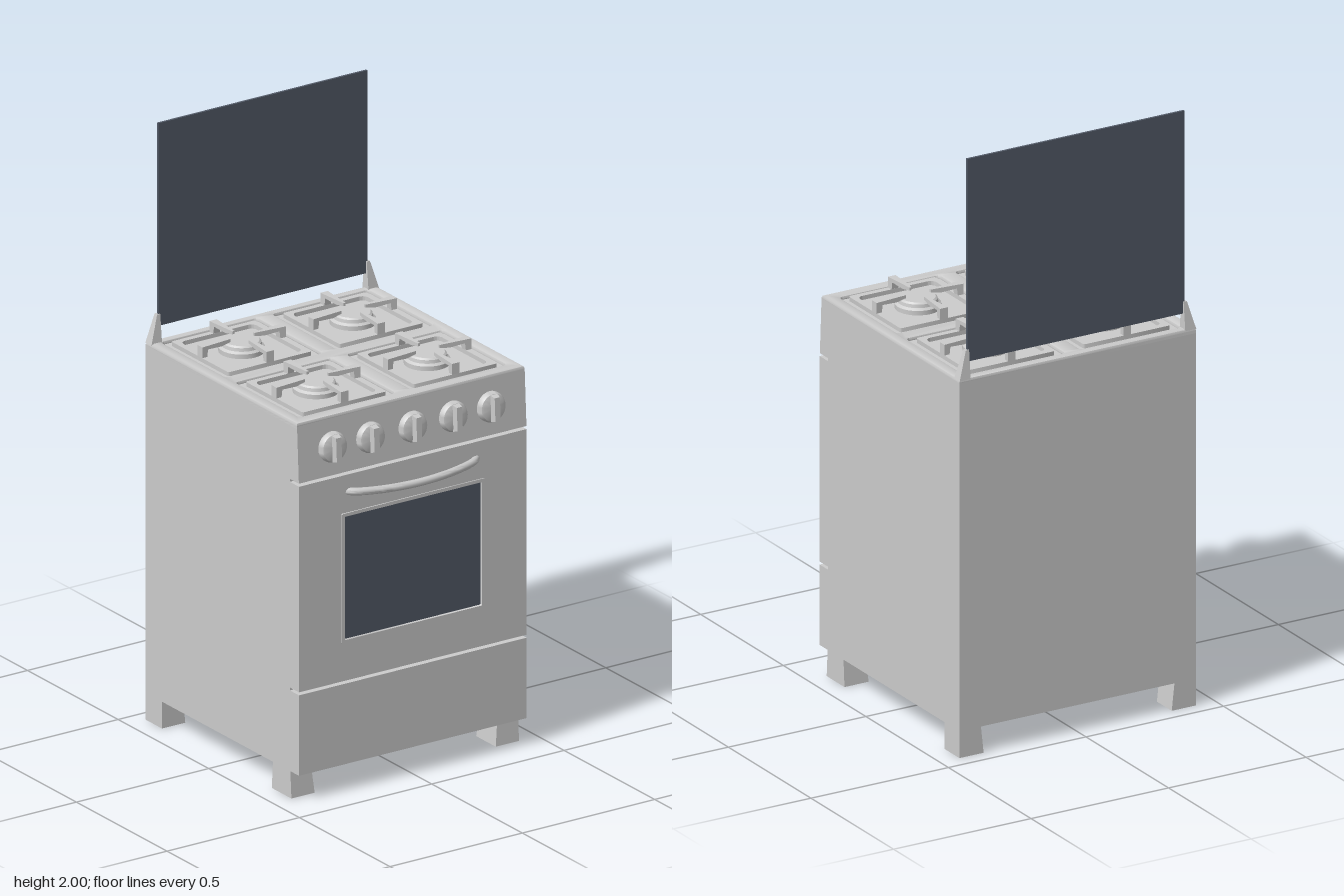
import * as THREE from 'three';
import { toCreasedNormals } from 'three/addons/utils/BufferGeometryUtils.js';

const grey = new THREE.MeshStandardMaterial({ color: 0xcccccc });
const glass = new THREE.MeshStandardMaterial({ color: 0x525a67 });

function add(parent, name, geometry, material = grey, x = 0, y = 0, z = 0) {
  const mesh = new THREE.Mesh(toCreasedNormals(geometry, 0.6), material);
  mesh.name = name;
  mesh.position.set(x, y, z);
  parent.add(mesh);
  return mesh;
}

const polygon = (points) => new THREE.Shape(points.map((p) => new THREE.Vector2(...p)));

// Rounded rectangle outline centred on (x, y)
function roundRect(x, y, hw, hh, r, Type = THREE.Shape) {
  const s = new Type();
  s.absarc(x + hw - r, y + hh - r, r, 0, Math.PI / 2);
  s.absarc(x - hw + r, y + hh - r, r, Math.PI / 2, Math.PI);
  s.absarc(x - hw + r, y - hh + r, r, Math.PI, Math.PI * 1.5);
  s.absarc(x + hw - r, y - hh + r, r, Math.PI * 1.5, Math.PI * 2);
  s.closePath();
  return s;
}

const extrude = (shape, depth, options = {}) =>
  new THREE.ExtrudeGeometry(shape, { depth, bevelEnabled: false, curveSegments: 6, ...options });

// Box whose top face is resized and shifted
function taperedBox(w, h, d, topW, topD, shiftX = 0) {
  const g = new THREE.BoxGeometry(w, h, d);
  const p = g.attributes.position;
  for (let i = 0; i < p.count; i++) {
    if (p.getY(i) > 0) p.setXYZ(i, p.getX(i) * topW / w + shiftX, h / 2, p.getZ(i) * topD / d);
  }
  return g;
}

// Pan support arm: side profile (radius, height) narrowing towards the burner
function armGeometry() {
  const g = extrude(polygon([
    [0.158, 0], [0.158, 0.05], [0.045, 0.05], [0.045, 0.04], [0.08, 0.034], [0.135, 0.038], [0.14, 0],
  ]), 1);
  const p = g.attributes.position;
  for (let i = 0; i < p.count; i++) {
    const t = (p.getX(i) - 0.045) / 0.113;
    p.setZ(i, (p.getZ(i) - 0.5) * (0.008 + 0.02 * t));
  }
  g.computeVertexNormals();
  return g;
}

function createBurner() {
  const burner = new THREE.Group();
  burner.name = 'burner';
  const profile = [[0.073, 0], [0.073, 0.015], [0.064, 0.021], [0.062, 0.032], [0.056, 0.037], [0, 0.037]];
  add(burner, 'burnerCap', new THREE.LatheGeometry(profile.map((p) => new THREE.Vector2(...p)), 32));
  const ring = roundRect(0, 0, 0.158, 0.158, 0.008);
  ring.holes.push(roundRect(0, 0, 0.138, 0.138, 0.02, THREE.Path));
  add(burner, 'grateFrame', extrude(ring, 0.014).rotateX(-Math.PI / 2));
  const arm = armGeometry();
  for (let i = 0; i < 4; i++) add(burner, 'grateArm', arm).rotation.y = i * Math.PI / 2;
  return burner;
}

function createKnob() {
  const knob = new THREE.Group();
  knob.name = 'knob';
  const profile = [[0.05, 0], [0.05, 0.012], [0.045, 0.022], [0.038, 0.025], [0, 0.025]];
  add(knob, 'knobDisc', new THREE.LatheGeometry(profile.map((p) => new THREE.Vector2(...p)), 32).rotateX(Math.PI / 2));
  add(knob, 'knobGrip', taperedBox(0.026, 0.02, 0.088, 0.02, 0.078).rotateX(Math.PI / 2), grey, 0, 0, 0.034);
  return knob;
}

export function createModel() {
  const model = new THREE.Group();
  model.name = 'gasCooker';

  // Cabinet with overhanging control panel, extruded across the width
  const side = polygon([
    [-0.45, 0.09], [0.345, 0.09], [0.345, 1.07], [0.395, 1.07], [0.385, 1.258], [-0.45, 1.258],
  ]);
  add(model, 'cabinet', extrude(side, 0.86).rotateY(-Math.PI / 2), grey, 0.43);

  // Hob plate with four recessed wells
  const plate = polygon([[-0.43, -0.385], [0.43, -0.385], [0.43, 0.45], [-0.43, 0.45]]);
  const rows = [[-0.242, 0.178], [0.165, 0.175]];
  for (const x of [-0.21, 0.21]) {
    for (const [z, half] of rows) plate.holes.push(roundRect(x, -z, 0.18, half, 0.012, THREE.Path));
  }
  const plateGeometry = extrude(plate, 0.01, {
    bevelEnabled: true, bevelSize: 0.01, bevelThickness: 0.01, bevelOffset: -0.01, bevelSegments: 2,
  });
  add(model, 'hobPlate', plateGeometry.rotateX(-Math.PI / 2), grey, 0, 1.25, 0);

  for (const x of [-0.21, 0.21]) {
    for (const z of [-0.242, 0.168]) {
      const burner = createBurner();
      burner.position.set(x, 1.258, z);
      model.add(burner);
    }
  }

  // Control knobs
  for (const x of [-0.303, -0.16, 0, 0.153, 0.296]) {
    const knob = createKnob();
    knob.position.set(x, 1.165, 0.388);
    knob.rotation.x = -0.053;
    model.add(knob);
  }

  // Oven door with window
  const door = polygon([[-0.43, 0.37], [0.43, 0.37], [0.43, 1.06], [-0.43, 1.06]]);
  door.holes.push(roundRect(0, 0.715, 0.262, 0.21, 0.003, THREE.Path));
  add(model, 'ovenDoor', extrude(door, 0.051), grey, 0, 0, 0.345);
  const frame = roundRect(0, 0.715, 0.27, 0.218, 0.004);
  frame.holes.push(roundRect(0, 0.715, 0.259, 0.207, 0.003, THREE.Path));
  add(model, 'windowFrame', extrude(frame, 0.02), grey, 0, 0, 0.38);
  add(model, 'ovenWindow', new THREE.BoxGeometry(0.524, 0.42, 0.02), glass, 0, 0.715, 0.38);

  // Bowed door handle
  const bow = new THREE.CatmullRomCurve3([
    [-0.247, 1.002, 0.385], [-0.225, 1.001, 0.405], [-0.13, 0.997, 0.431], [0, 0.995, 0.442],
    [0.13, 0.997, 0.431], [0.225, 1.001, 0.405], [0.247, 1.002, 0.385],
  ].map((p) => new THREE.Vector3(...p)));
  add(model, 'doorHandle', new THREE.TubeGeometry(bow, 40, 0.0125, 12));

  add(model, 'drawerFront', new THREE.BoxGeometry(0.86, 0.27, 0.051), grey, 0, 0.225, 0.3705);

  // Feet, glass lid and its hinge brackets
  for (const s of [-1, 1]) {
    add(model, 'frontFoot', taperedBox(0.088, 0.092, 0.108, 0.078, 0.096, s * 0.005), grey, s * 0.386, 0.046, 0.3);
    add(model, 'backFoot', taperedBox(0.088, 0.092, 0.09, 0.078, 0.09, s * 0.005), grey, s * 0.386, 0.046, -0.405);
    add(model, 'lidHinge', taperedBox(0.04, 0.095, 0.034, 0.012, 0.014, s * -0.014), grey, s * 0.41, 1.3125, -0.435);
  }
  add(model, 'glassLid', new THREE.BoxGeometry(0.79, 0.68, 0.008), glass, 0, 1.66, -0.435);

  return model;
}
